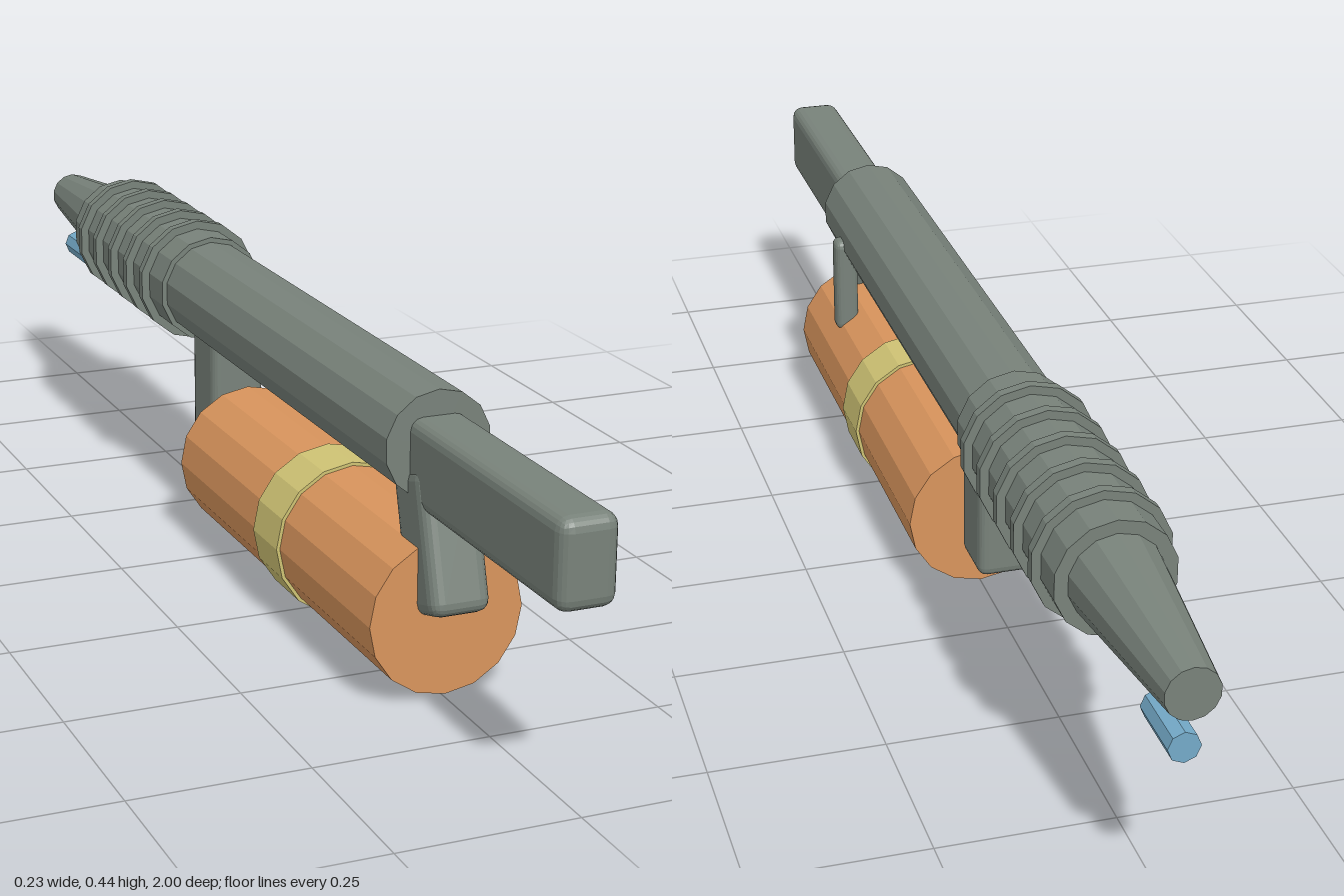
import * as THREE from 'three';
import { RoundedBoxGeometry } from 'three/addons/geometries/RoundedBoxGeometry.js';

const material = (color) => new THREE.MeshStandardMaterial({ color, flatShading: true });

export function createModel() {
  const model = new THREE.Group();
  const metal = material(0x78827a);
  const copper = material(0xd8945c);
  const brass = material(0xcfc374);
  const blue = material(0x74aac8);
  const barrelY = 0.347;
  const tankY = 0.117;

  function add(name, geometry, mat, x, y, z) {
    const mesh = new THREE.Mesh(geometry, mat);
    mesh.name = name;
    mesh.position.set(x, y, z);
    model.add(mesh);
    return mesh;
  }

  // Cylinder lying along z, from z0 (radius r0) back to z1 (radius r1)
  function rod(name, r0, r1, z0, z1, sides, mat, y) {
    const geometry = new THREE.CylinderGeometry(r0, r1, z0 - z1, sides);
    geometry.rotateX(Math.PI / 2);
    return add(name, geometry, mat, 0, y, (z0 + z1) / 2);
  }

  const block = (name, w, h, d, r, x, y, z) =>
    add(name, new RoundedBoxGeometry(w, h, d, 2, r), metal, x, y, z);

  // Barrel, cooling sleeve and tapered nozzle
  rod('barrel', 0.077, 0.077, 0.58, -0.3, 14, metal, barrelY);
  rod('sleeve', 0.085, 0.085, -0.27, -0.72, 14, metal, barrelY);
  rod('nozzle', 0.067, 0.037, -0.71, -1, 14, metal, barrelY);
  for (let i = 0; i < 5; i++) {
    const z = -0.34 - i * 0.079;
    rod('coolingRing', 0.098, 0.098, z + 0.008, z - 0.008, 14, metal, barrelY);
  }

  // Stock and grips
  block('stock', 0.082, 0.121, 0.46, 0.018, 0, 0.3275, 0.77);
  const grip = block('rearGrip', 0.087, 0.2, 0.096, 0.018, 0, 0.221, 0.595);
  grip.rotation.x = -0.28;
  block('foreGrip', 0.085, 0.21, 0.097, 0.014, 0, 0.193, -0.198);

  // Side lever
  block('sideLever', 0.038, 0.16, 0.036, 0.012, 0.07, 0.265, 0.464);

  // Fuel tank with its band
  rod('tank', 0.112, 0.112, 0.615, -0.11, 16, copper, tankY);
  rod('tankBand', 0.117, 0.117, 0.3, 0.21, 16, brass, tankY);

  // Pilot light below the nozzle
  rod('pilotLight', 0.022, 0.022, -0.88, -0.98, 8, blue, 0.259);

  return model;
}
